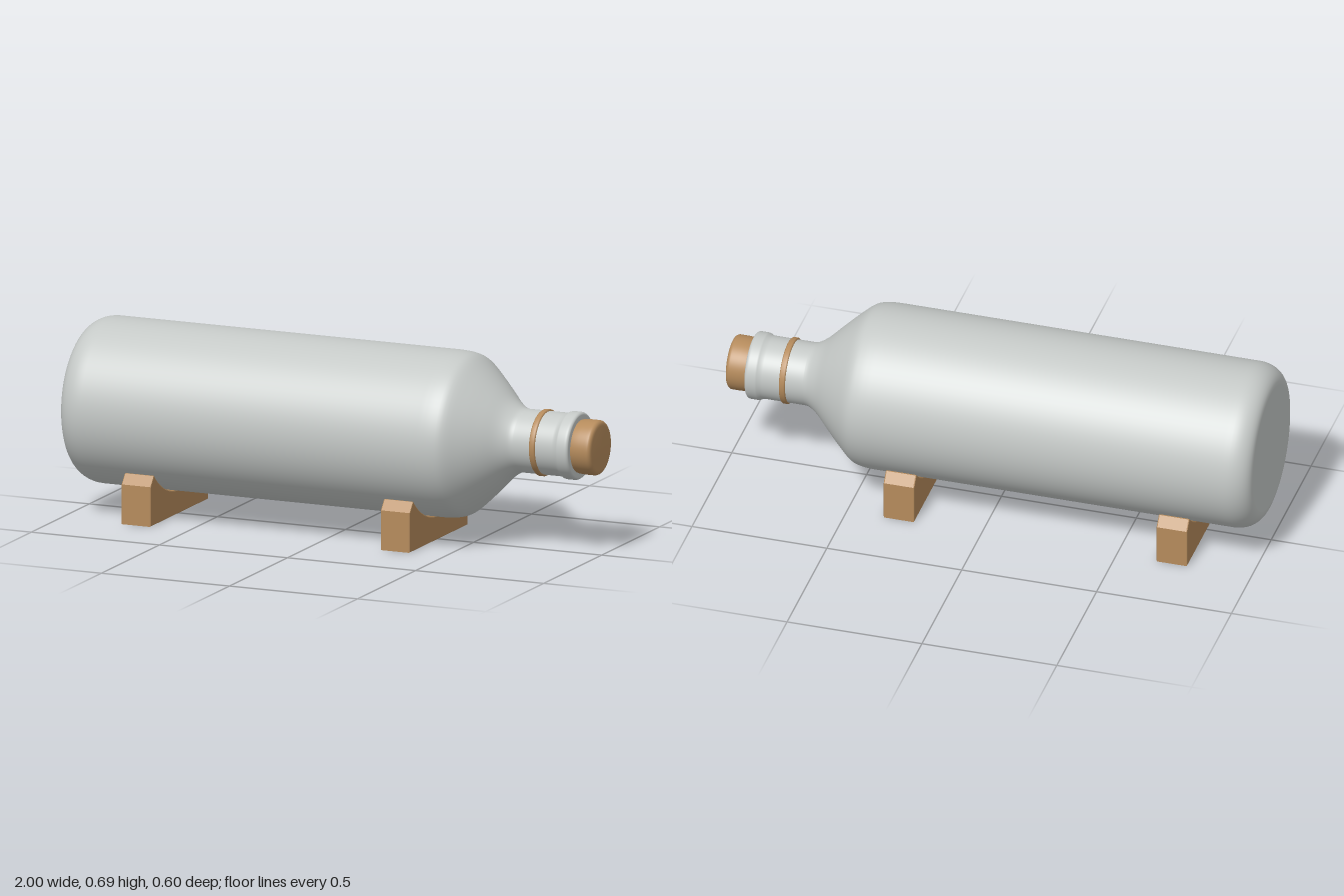
import * as THREE from 'three';

const AXIS_Y = 0.39; // height of the bottle's axis

// Rounded corner in a profile: quarter ellipse as [radius, x] pairs
function corner(r, x, dr, dx, start, steps = 8) {
  const pts = [];
  for (let i = 0; i <= steps; i++) {
    const a = start + (i / steps) * (Math.PI / 2);
    pts.push([r + dr * Math.cos(a), x + dx * Math.sin(a)]);
  }
  return pts;
}

// Surface of revolution lying along the x axis
function turned(name, profile, material) {
  const points = profile.map(([r, x]) => new THREE.Vector2(r, x));
  const mesh = new THREE.Mesh(new THREE.LatheGeometry(points, 80), material);
  mesh.name = name;
  mesh.rotation.z = -Math.PI / 2;
  mesh.position.y = AXIS_Y;
  return mesh;
}

// Cradle block with a round seat and chamfered top corners
function cradleGeometry(width) {
  const top = 0.18, half = 0.25, radius = 0.302, bevel = 0.004;
  const a = Math.asin((AXIS_Y - top) / radius);
  const shape = new THREE.Shape();
  shape.moveTo(-half, 0);
  shape.lineTo(half, 0);
  shape.lineTo(half, 0.145);
  shape.lineTo(0.222, top);
  shape.absarc(0, AXIS_Y, radius, -a, -(Math.PI - a), true);
  shape.lineTo(-0.222, top);
  shape.lineTo(-half, 0.145);
  shape.closePath();
  const geometry = new THREE.ExtrudeGeometry(shape, {
    depth: width - 2 * bevel, curveSegments: 40,
    bevelThickness: bevel, bevelSize: bevel, bevelOffset: -bevel, bevelSegments: 2,
  });
  geometry.translate(0, 0, bevel - width / 2);
  return geometry.rotateY(Math.PI / 2);
}

export function createModel() {
  const group = new THREE.Group();
  const glass = new THREE.MeshStandardMaterial({ name: 'pale grey', color: 0xc5c9c7 });
  const wood = new THREE.MeshStandardMaterial({ name: 'cork brown', color: 0xb58b5c });

  // Bottle: flat base, rounded heel, straight body, sloping shoulder, neck and lip
  const shoulder = new THREE.SplineCurve([
    [0.3, 0.42], [0.297, 0.46], [0.285, 0.5], [0.243, 0.55], [0.19, 0.605],
    [0.145, 0.65], [0.12, 0.685], [0.114, 0.705],
  ].map(([r, x]) => new THREE.Vector2(r, x))).getPoints(28).map((p) => [p.x, p.y]);
  group.add(turned('bottle', [
    [0, -1], [0.225, -1], [0.23, -1],
    ...corner(0.232, -0.91, 0.068, 0.09, -Math.PI / 2, 10),
    [0.3, -0.9], [0.3, 0.41],
    ...shoulder,
    [0.114, 0.72], [0.114, 0.855], [0.115, 0.865], [0.12, 0.874],
    [0.122, 0.88], [0.122, 0.905],
    ...corner(0.112, 0.908, 0.01, 0.012, 0, 5),
    [0.1, 0.92], [0, 0.92],
  ], glass));

  // Band round the neck
  group.add(turned('neckBand', [
    [0.112, 0.769], [0.117, 0.769], [0.12, 0.773], [0.12, 0.787], [0.117, 0.791], [0.112, 0.791],
  ], wood));

  // Stopper with a softly rounded end
  group.add(turned('stopper', [
    [0.094, 0.915], [0.097, 0.925], [0.099, 0.95], [0.099, 0.975],
    ...corner(0.083, 0.982, 0.016, 0.015, 0, 6),
    [0.08, 0.9975], [0.04, 0.9995], [0, 1],
  ], wood));

  // Two cradles under the body
  const geometry = cradleGeometry(0.114);
  for (const [name, x] of [['baseCradle', -0.705], ['shoulderCradle', 0.307]]) {
    const cradle = new THREE.Mesh(geometry, wood);
    cradle.name = name;
    cradle.position.x = x;
    group.add(cradle);
  }
  return group;
}
